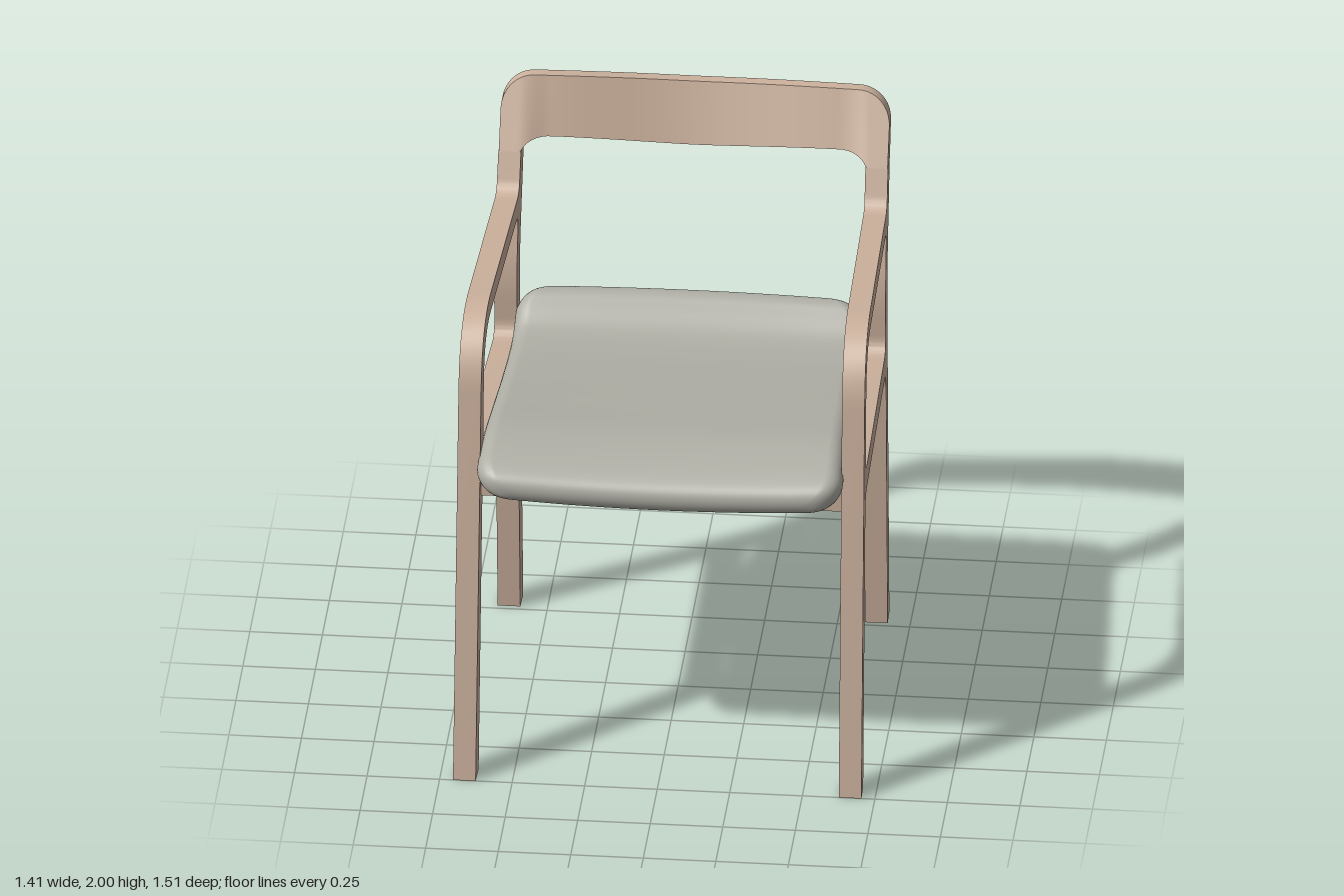
import * as THREE from 'three';
import { toCreasedNormals } from 'three/addons/utils/BufferGeometryUtils.js';

const wood = new THREE.MeshStandardMaterial({ color: 0xcbb19d });
wood.name = 'pale wood';
const fabric = new THREE.MeshStandardMaterial({ color: 0xb0afa6 });
fabric.name = 'grey upholstery';

// Traces a closed polygon whose corners [x, y, d] are rounded over a length d
function roundedPath(path, pts) {
  const n = pts.length;
  pts.forEach(([x, y, d = 0], i) => {
    const toward = ([px, py]) => {
      const l = Math.hypot(px - x, py - y);
      return [x + ((px - x) * d) / l, y + ((py - y) * d) / l];
    };
    const a = toward(pts[(i + n - 1) % n]);
    const b = toward(pts[(i + 1) % n]);
    if (i === 0) path.moveTo(...a);
    else path.lineTo(...a);
    if (d > 0) path.quadraticCurveTo(x, y, ...b);
  });
  path.closePath();
  return path;
}

// Skins a list of equal closed rings, optionally capping both ends
function loft(rings, capped) {
  const m = rings[0].length;
  const index = [];
  for (let i = 0; i < rings.length - 1; i++) {
    for (let j = 0; j < m; j++) {
      const k = (j + 1) % m;
      const a = i * m + j, b = a + m, c = i * m + k, d = c + m;
      index.push(a, b, c, b, d, c);
    }
  }
  if (capped) {
    const e = (rings.length - 1) * m;
    for (let j = 1; j < m - 1; j++) index.push(0, j, j + 1, e, e + j + 1, e + j);
  }
  const geo = new THREE.BufferGeometry();
  geo.setAttribute('position', new THREE.Float32BufferAttribute(rings.flat(2), 3));
  geo.setIndex(index);
  geo.computeVertexNormals();
  return geo;
}

function addMesh(group, name, geo, material) {
  const mesh = new THREE.Mesh(geo, material);
  mesh.name = name;
  group.add(mesh);
}

// Legs, armrest, seat rail and rear post of one side, drawn in (z, y)
function sideFrame(side) {
  const shape = roundedPath(new THREE.Shape(), [
    [0.75, 0], [0.568, 1.684, 0.26], [-0.487, 1.627, 0.05], [-0.54, 1.76],
    [-0.622, 1.76], [-0.497, 1.36, 0.15], [-0.605, 0], [-0.52, 0],
    [-0.445, 1.022, 0.075], [0.552, 1.075, 0.075], [0.665, 0],
  ]);
  shape.holes.push(roundedPath(new THREE.Path(), [
    [0.537, 1.157, 0.055], [0.503, 1.61, 0.19], [-0.463, 1.556, 0.045],
    [-0.418, 1.34, 0.1], [-0.43, 1.106, 0.065],
  ]));
  const geo = new THREE.ExtrudeGeometry(shape, { depth: 0.078, bevelEnabled: false, curveSegments: 14 });
  geo.rotateY(-Math.PI / 2);
  geo.translate(side > 0 ? 0.685 : -0.607, 0, 0);
  // Frames draw together toward the back
  const p = geo.attributes.position;
  for (let i = 0; i < p.count; i++) p.setX(i, p.getX(i) + side * 0.025 * p.getZ(i));
  return toCreasedNormals(geo, 0.5);
}

// Bowed, leaning panel with rounded shoulders that run into the rear posts
function backrest() {
  const rings = [];
  const round = (u) => 1 - Math.sqrt(Math.max(0, 1 - u * u));
  for (let i = 0; i <= 80; i++) {
    const x = 0.67 * Math.sin((i / 80 - 0.5) * Math.PI);
    const ax = Math.abs(x);
    const rise = THREE.MathUtils.smoothstep(ax, 0, 0.55);
    const top = 1.972 + 0.028 * rise - 0.11 * round(Math.max(0, ax - 0.56) / 0.11);
    const corner = THREE.MathUtils.clamp((ax - 0.53) / 0.062, 0, 1);
    const bottom = 1.76 + 0.037 * rise - 0.037 * round(corner);
    const bow = 0.035 * (1 - Math.cos(Math.PI * Math.min(1, ax / 0.6)));
    const back = (y) => -0.755 + bow - 0.31 * (y - 1.965);
    const front = (y) => back(y) + 0.04 + 0.175 * (2 - y) * THREE.MathUtils.smoothstep(ax, 0.5, 0.6);
    rings.push([
      [x, bottom, back(bottom)], [x, bottom, front(bottom)],
      [x, top, front(top)], [x, top, back(top)],
    ]);
  }
  return toCreasedNormals(loft(rings, true), 0.5);
}

// Padded seat: a stadium section swept from the drooping lip to the raised rear roll
function cushion() {
  const spine = new THREE.CatmullRomCurve3([
    [0.74, 1.1], [0.66, 1.145], [0.5, 1.178], [0.25, 1.163], [0, 1.142],
    [-0.2, 1.132], [-0.34, 1.145], [-0.43, 1.2], [-0.505, 1.252],
  ].map(([z, y]) => new THREE.Vector3(0, y, z)));
  const length = spine.getLength();
  const h = 0.058;
  const edge = (d, r) => Math.sqrt(Math.max(0, 1 - (1 - Math.min(1, d / r)) ** 2));
  const rings = [];
  for (let i = 0; i <= 90; i++) {
    const u = 0.5 - 0.5 * Math.cos((Math.PI * i) / 90);
    const p = spine.getPointAt(u);
    const t = spine.getTangentAt(u);
    const d = Math.min(u, 1 - u) * length;
    const thick = h * edge(d, 0.06);
    const half = 0.612 + 0.028 * p.z - 0.11 * (1 - edge(d, 0.11));
    const flat = half - h;
    const ring = [];
    const put = (x, n) => {
      const sag = 0.08 * Math.max(0, p.z) * (x * x - 0.15);
      const bow = -0.025 * THREE.MathUtils.smoothstep(-p.z, 0.3, 0.5) * (1 - (x / 0.6) ** 2);
      ring.push([x, p.y - t.z * n + sag, p.z + t.y * n + bow]);
    };
    for (const s of [1, -1]) {
      for (let k = 0; k <= 12; k++) {
        const a = (k / 12 - 0.5) * Math.PI;
        put(s * (flat + h * Math.cos(a)), s * thick * Math.sin(a));
      }
      for (let k = 1; k < 14; k++) put(s * flat * (1 - k / 7), s * thick);
    }
    rings.push(ring);
  }
  return loft(rings, false);
}

export function createModel() {
  const chair = new THREE.Group();
  chair.name = 'armchair';
  addMesh(chair, 'leftFrame', sideFrame(1), wood);
  addMesh(chair, 'rightFrame', sideFrame(-1), wood);
  addMesh(chair, 'backrest', backrest(), wood);

  // Cross rails under the seat
  const frontRail = new THREE.BoxGeometry(1.26, 0.08, 0.065);
  frontRail.translate(0, 1.072, 0.565);
  addMesh(chair, 'frontRail', frontRail, wood);
  const rear = roundedPath(new THREE.Shape(), [
    [-0.61, 1.09], [-0.61, 1.033], [-0.48, 1.008], [0.48, 1.008], [0.61, 1.033], [0.61, 1.09],
  ]);
  const rearRail = new THREE.ExtrudeGeometry(rear, { depth: 0.12, bevelEnabled: false });
  rearRail.translate(0, 0, -0.31);
  addMesh(chair, 'rearRail', rearRail, wood);

  addMesh(chair, 'seatCushion', cushion(), fabric);
  return chair;
}
